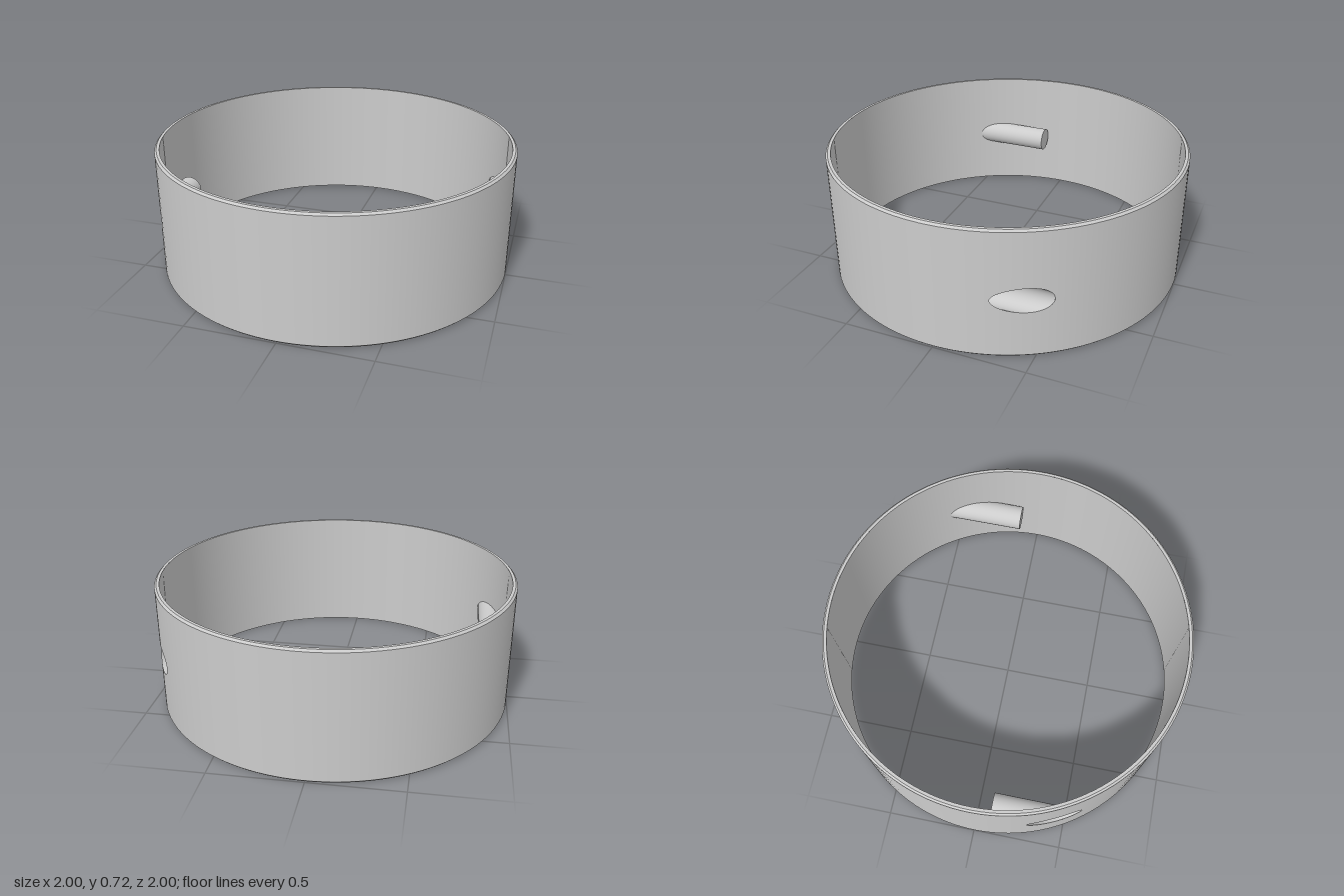
import * as THREE from 'three';

const H = 0.72, RO = 1, RI = 0.973, BEVEL = 0.011;      // ring
const BX = 0.887, BY = 0.333, BR = 0.069, BEND = 0.093; // blind bores along z

// Angles around the ring, with finer steps across the two bore openings
function ringAngles(R) {
  const start = Math.acos((BX + BR) / R), end = Math.acos((BX - BR) / R);
  const half = [];
  for (let i = 0; i < 40; i++) {
    const x = BX + BR * Math.cos(Math.PI * i / 40);
    half.push({ a: Math.acos(x / R), gap: BR * Math.sin(Math.PI * i / 40) });
  }
  for (let i = 0; i < 60; i++) half.push({ a: end + (Math.PI + start - end) * i / 60, gap: 0 });
  const all = [...half, ...half.map(({ a, gap }) => ({ a: a + Math.PI, gap }))];
  all.push({ a: start + 2 * Math.PI, gap: 0 });
  return all;
}

// Band swept round the y axis between two [radius, height] points per angle
function band(angles, from, to) {
  const pos = [], nor = [], idx = [];
  angles.forEach(({ a, gap }, i) => {
    const p = from(gap), q = to(gap), c = Math.cos(a), s = -Math.sin(a);
    const n = new THREE.Vector2(q[1] - p[1], p[0] - q[0]).normalize();
    for (const [r, y] of [p, q]) {
      pos.push(r * c, y, r * s);
      nor.push(n.x * c, n.y, n.x * s);
    }
    if (i) {
      const k = 2 * i;
      idx.push(k - 2, k, k + 1, k - 2, k + 1, k - 1);
    }
  });
  const g = new THREE.BufferGeometry();
  g.setAttribute('position', new THREE.Float32BufferAttribute(pos, 3));
  g.setAttribute('normal', new THREE.Float32BufferAttribute(nor, 3));
  g.setIndex(idx);
  return g;
}

// Cylinder along z whose outer end follows the curved ring surface
function boreGeometry() {
  const g = new THREE.CylinderGeometry(BR, BR, 1, 64, 1, true);
  g.rotateX(Math.PI / 2);
  const p = g.attributes.position;
  for (let i = 0; i < p.count; i++) {
    const x = p.getX(i) + BX;
    const z = p.getZ(i) > 0 ? -BEND : -Math.sqrt(RO * RO - x * x);
    p.setXYZ(i, x, p.getY(i) + BY, z);
  }
  return g;
}

export function createModel() {
  const group = new THREE.Group();
  const mat = new THREE.MeshStandardMaterial({ color: 0xcccccc });
  const thin = new THREE.MeshStandardMaterial({ color: 0xcccccc, side: THREE.DoubleSide });
  const add = (parent, name, geometry, material = mat) => {
    const mesh = new THREE.Mesh(geometry, material);
    mesh.name = name;
    parent.add(mesh);
    return mesh;
  };

  // Ring walls, each split at bore height so the openings stay clear
  const ring = new THREE.Group();
  ring.name = 'ring';
  group.add(ring);
  const outer = ringAngles(RO), inner = ringAngles(RI);
  const at = (r, y) => () => [r, y];
  const below = r => gap => [r, BY - gap], above = r => gap => [r, BY + gap];
  add(ring, 'outerWallLower', band(outer, at(RO, BEVEL), below(RO)));
  add(ring, 'outerWallUpper', band(outer, above(RO), at(RO, H - BEVEL)));
  add(ring, 'innerWallUpper', band(inner, at(RI, H), above(RI)));
  add(ring, 'innerWallLower', band(inner, below(RI), at(RI, 0)));

  // Bevelled rims
  add(ring, 'topBevel', band(outer, at(RO, H - BEVEL), at(RO - BEVEL, H)));
  add(ring, 'topRim', band(outer, at(RO - BEVEL, H), at(RI, H)));
  add(ring, 'bottomRim', band(outer, at(RI, 0), at(RO - BEVEL, 0)));
  add(ring, 'bottomBevel', band(outer, at(RO - BEVEL, 0), at(RO, BEVEL)));

  // Two opposite blind sockets, open outside and closed inside
  for (let i = 0; i < 2; i++) {
    const socket = new THREE.Group();
    socket.name = i ? 'rightSocket' : 'leftSocket';
    socket.rotation.y = i * Math.PI;
    add(socket, 'socketTube', boreGeometry(), thin);
    add(socket, 'socketEnd', new THREE.CircleGeometry(BR, 64), thin).position.set(BX, BY, -BEND);
    group.add(socket);
  }
  return group;
}
